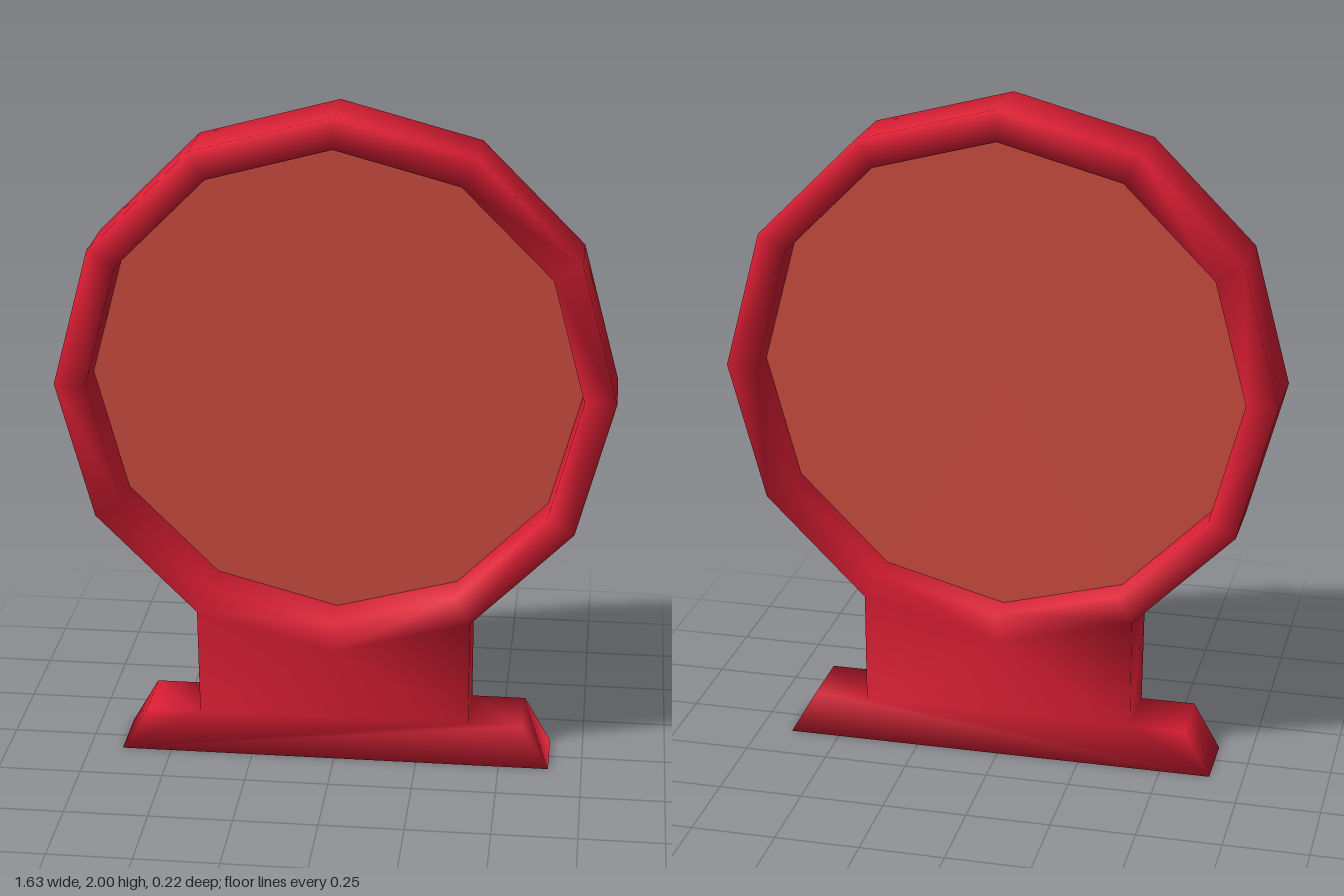
import * as THREE from 'three';

const SIDES = 12, CY = 1.185, OUTER = 0.815, INNER = 0.722;
const FRONT = 0.108, BACK = -0.108, FOOT_FRONT = 0.083, FOOT_TOP = 0.14;

const ringPoint = (i, r) => {
  const a = (i / SIDES) * Math.PI * 2;
  return [r * Math.cos(a), CY + r * Math.sin(a)];
};

// Thick plate from counter-clockwise triangles: caps on both sides,
// and walls along every edge that only one triangle uses.
function plate(points, tris, frontZ) {
  const n = points.length, pos = [], index = [], edges = new Set();
  for (const [x, y] of points) pos.push(x, y, frontZ(y));
  for (const [x, y] of points) pos.push(x, y, BACK);
  const edgesOf = ([a, b, c]) => [[a, b], [b, c], [c, a]];
  for (const t of tris) {
    const [a, b, c] = t;
    index.push(a, b, c, a + n, c + n, b + n);
    edgesOf(t).forEach(([p, q]) => edges.add(`${p},${q}`));
  }
  for (const t of tris) {
    for (const [p, q] of edgesOf(t)) {
      if (!edges.has(`${q},${p}`)) index.push(p, p + n, q + n, p, q + n, q);
    }
  }
  const geo = new THREE.BufferGeometry();
  geo.setAttribute('position', new THREE.Float32BufferAttribute(pos, 3));
  geo.setIndex(index);
  geo.computeVertexNormals();
  return geo;
}

export function createModel() {
  const group = new THREE.Group();
  group.name = 'roundSign';

  // Ring: outer points 0-11, inner points 12-23
  const points = [], tris = [];
  for (const r of [OUTER, INNER]) {
    for (let i = 0; i < SIDES; i++) points.push(ringPoint(i, r));
  }
  for (let i = 0; i < SIDES; i++) {
    const j = (i + 1) % SIDES;
    tris.push([i, j, j + SIDES], [i, j + SIDES, i + SIDES]);
  }

  // Neck corners, then foot corners
  const neck = OUTER / 2;
  const [nl, nr, bl, br, tr, tl] = [24, 25, 26, 27, 28, 29];
  points.push([-neck, FOOT_TOP], [neck, FOOT_TOP]);
  points.push([-0.65, 0], [0.65, 0], [0.57, FOOT_TOP], [-0.57, FOOT_TOP]);

  // Neck joins the three lowest outer ring points (8, 9, 10)
  tris.push([nl, 9, 8], [nl, nr, 9], [nr, 10, 9]);
  // Sloped-end foot
  tris.push([bl, br, tr], [bl, tr, nr], [bl, nr, nl], [bl, nl, tl]);

  const frame = new THREE.Mesh(
    plate(points, tris, (y) => (y <= FOOT_TOP ? FOOT_FRONT : FRONT)),
    new THREE.MeshStandardMaterial({ color: 0xdc1e34 })
  );
  frame.name = 'frameAndStand';
  group.add(frame);

  // Thin panel set inside the ring
  const panel = new THREE.Mesh(
    new THREE.CircleGeometry(INNER, SIDES),
    new THREE.MeshStandardMaterial({ color: 0xcc4c3e, side: THREE.DoubleSide })
  );
  panel.position.set(0, CY, -0.02);
  panel.name = 'panel';
  group.add(panel);

  return group;
}
